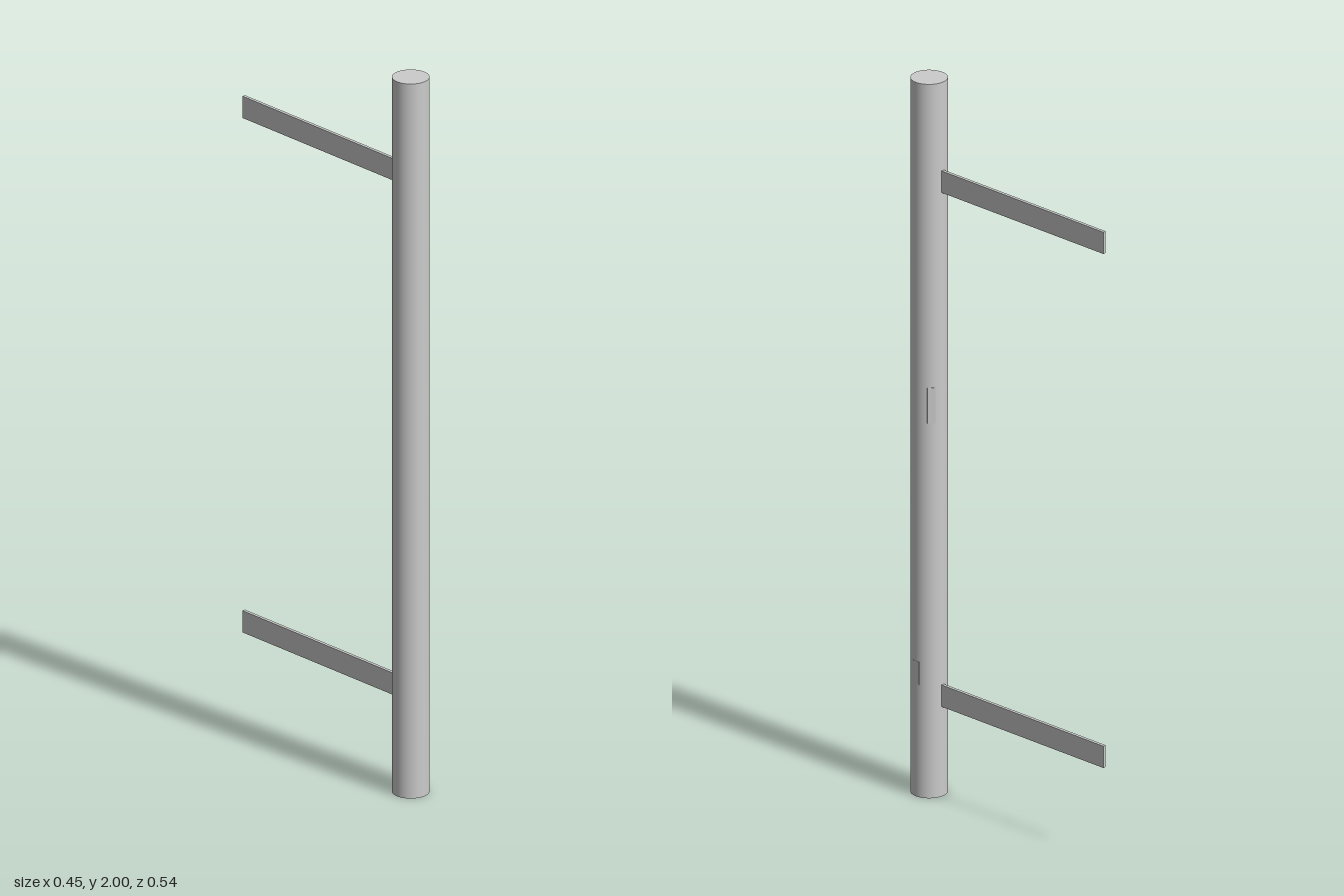
import * as THREE from 'three';

const POLE = { x: 0.177, z: 0.22, radius: 0.0485, height: 2 };
const ARM_ANGLE = Math.atan2(-0.49, -0.4); // heading of the arms in the xz plane

export function createModel() {
  const model = new THREE.Group();
  model.name = 'bracketPole';
  const material = new THREE.MeshStandardMaterial({ color: 0xcccccc });

  // Box whose local x axis points away from the pole axis at the given heading
  function radialBox(name, angle, inner, outer, width, bottom, top) {
    const mesh = new THREE.Mesh(new THREE.BoxGeometry(outer - inner, top - bottom, width), material);
    const middle = (inner + outer) / 2;
    mesh.name = name;
    mesh.position.set(
      POLE.x + Math.cos(angle) * middle,
      (bottom + top) / 2,
      POLE.z + Math.sin(angle) * middle
    );
    mesh.rotation.y = -angle;
    model.add(mesh);
  }

  // Upright round pole
  const pole = new THREE.Mesh(
    new THREE.CylinderGeometry(POLE.radius, POLE.radius, POLE.height, 64),
    material
  );
  pole.name = 'pole';
  pole.position.set(POLE.x, POLE.height / 2, POLE.z);
  model.add(pole);

  // Two flat arms set into the pole
  radialBox('lowerArm', ARM_ANGLE, 0.03, 0.63, 0.009, 0.252, 0.313);
  radialBox('upperArm', ARM_ANGLE, 0.03, 0.63, 0.009, 1.692, 1.753);

  // Small plates almost flush with the pole surface
  radialBox('lockPlate', ARM_ANGLE + Math.PI / 2, 0.03, 0.0488, 0.022, 0.315, 0.379);
  radialBox('backPlate', -Math.PI / 2, 0.03, 0.0492, 0.021, 1.05, 1.15);

  return model;
}
